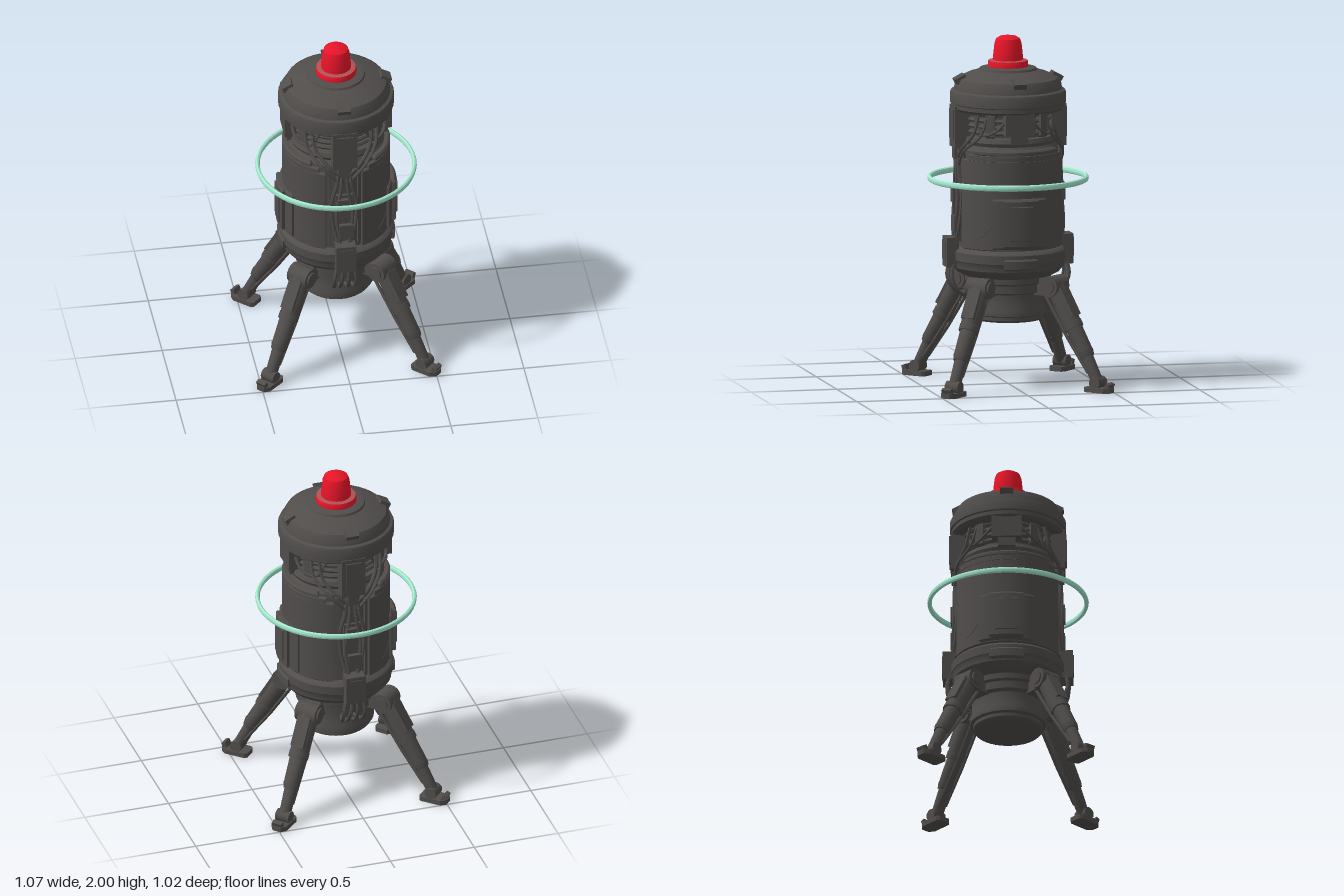
import * as THREE from 'three';
import { toCreasedNormals } from 'three/addons/utils/BufferGeometryUtils.js';

const mat = (name, color) => {
  const m = new THREE.MeshStandardMaterial({ color });
  m.name = name;
  return m;
};

export function createModel() {
  const metal = mat('dark metal', 0x504d4b);
  const red = mat('lamp red', 0xec1529);
  const dullRed = mat('lamp base dull red', 0xb05254);
  const mint = mat('ring mint', 0xaaf2d6);
  const model = new THREE.Group();
  model.name = 'beaconPod';

  const add = (parent, name, geo, m = metal, x = 0, y = 0, z = 0) => {
    const mesh = new THREE.Mesh(toCreasedNormals(geo, 0.6), m);
    mesh.name = name;
    mesh.position.set(x, y, z);
    parent.add(mesh);
    return mesh;
  };
  const lathe = (name, pts, m = metal, seg = 40) =>
    add(model, name, new THREE.LatheGeometry(pts.map(p => new THREE.Vector2(...p)), seg), m);
  const box = (parent, name, size, pos, tilt = 0) => {
    const mesh = add(parent, name, new THREE.BoxGeometry(...size), metal, ...pos);
    mesh.rotation.z = tilt;
    return mesh;
  };
  // Curved plate centred on local +x, between two radii and two heights
  const plate = (parent, name, ri, ro, half, y0, y1, bevel = 0.01) => {
    const s = new THREE.Shape();
    s.absarc(0, 0, ro, -half, half, false);
    s.absarc(0, 0, ri, half, -half, true);
    const g = new THREE.ExtrudeGeometry(s, {
      depth: y1 - y0 - 2 * bevel, curveSegments: 20, bevelEnabled: true,
      bevelThickness: bevel, bevelSize: bevel, bevelOffset: -bevel, bevelSegments: 1,
    });
    g.rotateX(-Math.PI / 2);
    return add(parent, name, g, metal, 0, y0 + bevel, 0);
  };
  // Cable through points [angle, radius, height], angle measured from local +x
  const cable = (parent, name, pts, r = 0.009) => {
    const curve = new THREE.CatmullRomCurve3(pts.map(([a, d, y]) =>
      new THREE.Vector3(Math.cos(a) * d, y, Math.sin(a) * d)));
    return add(parent, name, new THREE.TubeGeometry(curve, 20, r, 6));
  };
  // Rod between two points of the local xy plane
  const rod = (parent, name, [x0, y0], [x1, y1], r0, r1, sides = 12, z = 0) => {
    const g = new THREE.CylinderGeometry(r1, r0, Math.hypot(x1 - x0, y1 - y0), sides);
    const m = add(parent, name, g, metal, (x0 + x1) / 2, (y0 + y1) / 2, z);
    m.rotation.z = Math.atan2(y1 - y0, x1 - x0) - Math.PI / 2;
    return m;
  };
  // Cylinder lying across a leg
  const pin = (parent, name, r, length, x, y) => {
    const m = add(parent, name, new THREE.CylinderGeometry(r, r, length, 16), metal, x, y, 0);
    m.rotation.x = Math.PI / 2;
  };
  const sideGroup = (name, angle) => {
    const g = new THREE.Group();
    g.name = name;
    g.rotation.y = angle;
    model.add(g);
    return g;
  };

  // Inner core, with the narrow drum beneath it and the stepped underside
  lathe('core', [[0, 0.373], [0.185, 0.373], [0.198, 0.385], [0.198, 0.405], [0.215, 0.412], [0.215, 0.44],
    [0.205, 0.465], [0.205, 0.535], [0.23, 0.545], [0.23, 0.59], [0.245, 0.6], [0.245, 0.64],
    [0.285, 0.65], [0.285, 1.36], [0.25, 1.41], [0.235, 1.43], [0.235, 1.6], [0, 1.6]]);
  lathe('lowerBand', [[0.25, 0.63], [0.29, 0.65], [0.315, 0.68], [0.318, 0.715], [0.325, 0.725],
    [0.325, 0.775], [0.312, 0.79], [0.28, 0.8]]);
  lathe('neckBand', [[0.22, 1.385], [0.265, 1.39], [0.275, 1.41], [0.265, 1.435], [0.22, 1.44]]);
  for (let i = 0; i < 4; i++) {
    const g = new THREE.TorusGeometry(0.247, 0.013, 6, 40);
    g.rotateX(Math.PI / 2);
    add(model, 'neckRib', g, metal, 0, 1.465 + i * 0.035, 0);
  }

  // Domed head with a broad collar
  lathe('head', [[0.22, 1.575], [0.305, 1.578], [0.322, 1.592], [0.322, 1.615], [0.33, 1.62], [0.33, 1.675],
    [0.324, 1.688], [0.308, 1.695], [0.303, 1.725], [0.285, 1.757], [0.225, 1.785], [0.165, 1.803],
    [0.16, 1.815], [0.12, 1.822], [0, 1.822]]);

  // Lamp: red flange, dull upper face, tapered cap
  lathe('lampFlange', [[0.1, 1.815], [0.115, 1.82], [0.115, 1.85], [0.112, 1.856]], red);
  lathe('lampFlangeTop', [[0.112, 1.856], [0.08, 1.86]], dullRed);
  lathe('lamp', [[0.086, 1.85], [0.085, 1.88], [0.077, 1.955], [0.068, 1.98],
    [0.045, 1.994], [0, 2]], red, 24);

  // Floating ring
  const ringGeo = new THREE.TorusGeometry(0.446, 0.013, 8, 64);
  ringGeo.rotateX(Math.PI / 2);
  ringGeo.scale(1, 1.35, 1);
  add(model, 'ring', ringGeo, mint, 0, 1.182, 0);

  // Dome clips, one per quarter
  for (let i = 0; i < 4; i++) {
    const q = sideGroup('headClip', i * Math.PI / 2);
    box(q, 'domeClip', [0.065, 0.06, 0.075], [0.274, 1.746, 0], -0.5);
  }

  // Left and right shells with hatches and neck boxes
  for (const a of [0, Math.PI]) {
    const s = sideGroup('sideShell', a);
    plate(s, 'shell', 0.26, 0.308, 1.22, 0.8, 1.315, 0.005);
    plate(s, 'shellShoulder', 0.26, 0.308, 1.08, 1.31, 1.345, 0.003);
    plate(s, 'shellTop', 0.25, 0.308, 0.92, 1.34, 1.375);
    plate(s, 'hatchSurround', 0.29, 0.322, 0.52, 0.81, 1.1);
    plate(s, 'hatch', 0.3, 0.342, 0.3, 0.82, 1.1, 0.012);
    plate(s, 'hatchPanel', 0.3, 0.348, 0.2, 0.86, 1.06, 0.004);
    plate(s, 'bandPad', 0.29, 0.335, 0.3, 0.69, 0.755);
    box(s, 'neckBox', [0.08, 0.14, 0.17], [0.268, 1.53, 0]);
    box(s, 'neckBoxFoot', [0.06, 0.06, 0.1], [0.26, 1.44, 0]);
    for (const k of [-1, 1]) {
      cable(s, 'shellGroove', [[k * 0.52, 0.306, 0.95], [k * 0.7, 0.306, 0.89], [k * 0.85, 0.306, 0.87]], 0.005);
      plate(s, 'neckBracket', 0.23, 0.275, 0.1, 1.44, 1.58).rotation.y = k * 0.62;
      cable(s, 'neckCable', [[k * 0.25, 0.28, 1.55], [k * 0.5, 0.285, 1.48], [k * 0.8, 0.27, 1.46], [k * 1.05, 0.26, 1.56]]);
    }
  }

  // Front and back channels with boxes and cable looms
  for (const a of [-Math.PI / 2, Math.PI / 2]) {
    const c = sideGroup('cableChannel', a);
    box(c, 'junctionBox', [0.09, 0.24, 0.14], [0.28, 1.488, 0]);
    box(c, 'junctionCover', [0.012, 0.17, 0.09], [0.327, 1.5, 0]);
    box(c, 'plug', [0.04, 0.07, 0.06], [0.3, 1.34, 0]);
    box(c, 'channelPlate', [0.03, 0.34, 0.1], [0.285, 1.0, 0]);
    box(c, 'connector', [0.05, 0.1, 0.06], [0.3, 1.1, 0.01]);
    box(c, 'connector', [0.05, 0.09, 0.08], [0.3, 0.93, -0.01]);
    box(c, 'lowerBox', [0.07, 0.17, 0.115], [0.335, 0.77, 0]);
    box(c, 'lowerBoxCover', [0.012, 0.11, 0.075], [0.369, 0.78, 0]);
    for (const k of [-1, 1]) {
      cable(c, 'longCable', [[k * 0.1, 0.295, 1.37], [k * 0.14, 0.3, 1.25], [k * 0.25, 0.297, 1.1],
        [k * 0.2, 0.3, 0.95], [k * 0.1, 0.31, 0.84]], 0.011);
      cable(c, 'middleCable', [[k * 0.04, 0.3, 1.33], [k * 0.07, 0.306, 1.2], [k * 0.15, 0.31, 1.05],
        [k * 0.08, 0.315, 0.85]], 0.01);
      cable(c, 'upperCable', [[k * 0.06, 0.3, 1.3], [k * 0.3, 0.305, 1.37], [k * 0.58, 0.285, 1.46],
        [k * 0.68, 0.27, 1.58]], 0.01);
      cable(c, 'outerCable', [[k * 0.1, 0.3, 1.26], [k * 0.4, 0.312, 1.36], [k * 0.75, 0.285, 1.45],
        [k * 0.9, 0.265, 1.58]], 0.009);
      cable(c, 'lowerCable', [[k * 0.14, 0.335, 0.71], [k * 0.18, 0.345, 0.62], [k * 0.2, 0.3, 0.54],
        [k * 0.16, 0.21, 0.52]], 0.011);
      cable(c, 'innerLowerCable', [[k * 0.04, 0.345, 0.7], [k * 0.06, 0.34, 0.61], [k * 0.08, 0.28, 0.53],
        [k * 0.08, 0.21, 0.5]], 0.011);
      plate(c, 'channelRail', 0.27, 0.3, 0.03, 0.82, 1.35, 0.004).rotation.y = k * 0.3;
    }
  }

  // Four splayed legs
  const tilt = Math.atan2(0.52, -0.3) - Math.PI / 2;
  const angle = 0.757;
  for (const a of [angle, -angle, Math.PI - angle, Math.PI + angle]) {
    const leg = sideGroup('leg', a);
    box(leg, 'hipBracket', [0.12, 0.1, 0.09], [0.25, 0.58, 0]);
    pin(leg, 'hipJoint', 0.06, 0.13, 0.315, 0.585);
    pin(leg, 'hipCap', 0.04, 0.15, 0.315, 0.585);
    rod(leg, 'thigh', [0.32, 0.59], [0.437, 0.37], 0.054, 0.056);
    box(leg, 'thighPlate', [0.05, 0.18, 0.08], [0.402, 0.5, 0], tilt);
    rod(leg, 'kneeCollar', [0.43, 0.385], [0.45, 0.35], 0.058, 0.058);
    rod(leg, 'shin', [0.44, 0.37], [0.532, 0.21], 0.048, 0.046);
    rod(leg, 'shinCollar', [0.524, 0.225], [0.54, 0.195], 0.048, 0.042);
    rod(leg, 'ankleRod', [0.53, 0.21], [0.612, 0.05], 0.036, 0.034);
    for (const z of [-0.025, 0.025]) {
      rod(leg, 'upperStrut', [0.27, 0.53], [0.42, 0.3], 0.01, 0.01, 6, z);
      rod(leg, 'lowerStrut', [0.42, 0.3], [0.56, 0.11], 0.01, 0.01, 6, z);
    }
    pin(leg, 'ankleJoint', 0.035, 0.085, 0.612, 0.055);
    // Foot pad with clipped corners and a raised toe
    const sole = new THREE.Shape([[0.54, -0.035], [0.555, -0.048], [0.675, -0.048], [0.705, -0.025],
      [0.705, 0.025], [0.675, 0.048], [0.555, 0.048], [0.54, 0.035]].map(p => new THREE.Vector2(...p)));
    const foot = new THREE.ExtrudeGeometry(sole, { depth: 0.028, bevelEnabled: false });
    foot.rotateX(-Math.PI / 2);
    add(leg, 'foot', foot);
    box(leg, 'toe', [0.025, 0.04, 0.06], [0.688, 0.036, 0], -0.4);
  }
  return model;
}
